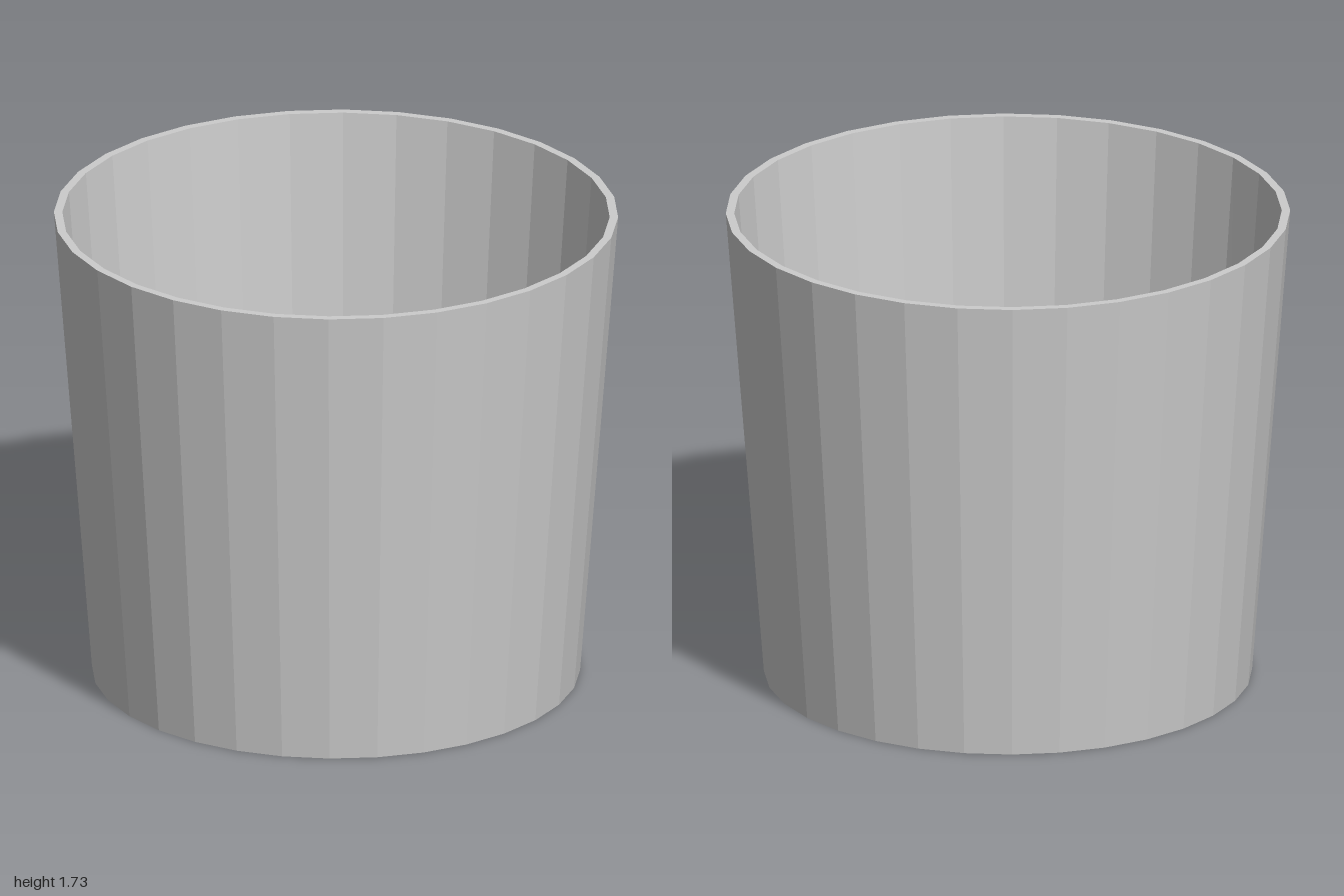
import * as THREE from 'three';

export function createModel() {
  const group = new THREE.Group();
  group.name = 'cup';
  const material = new THREE.MeshStandardMaterial({ color: 0xcccccc, flatShading: true });

  // Tapered cup as one closed profile: base, outer wall, rim, inner wall, thin floor
  const profile = [
    [0, 0],
    [0.865, 0],
    [1, 1.73],
    [0.97, 1.73],
    [0.842, 0.005],
    [0, 0.005],
  ].map(([r, y]) => new THREE.Vector2(r, y));

  const body = new THREE.Mesh(new THREE.LatheGeometry(profile, 32), material);
  body.name = 'cupBody';
  group.add(body);
  return group;
}
